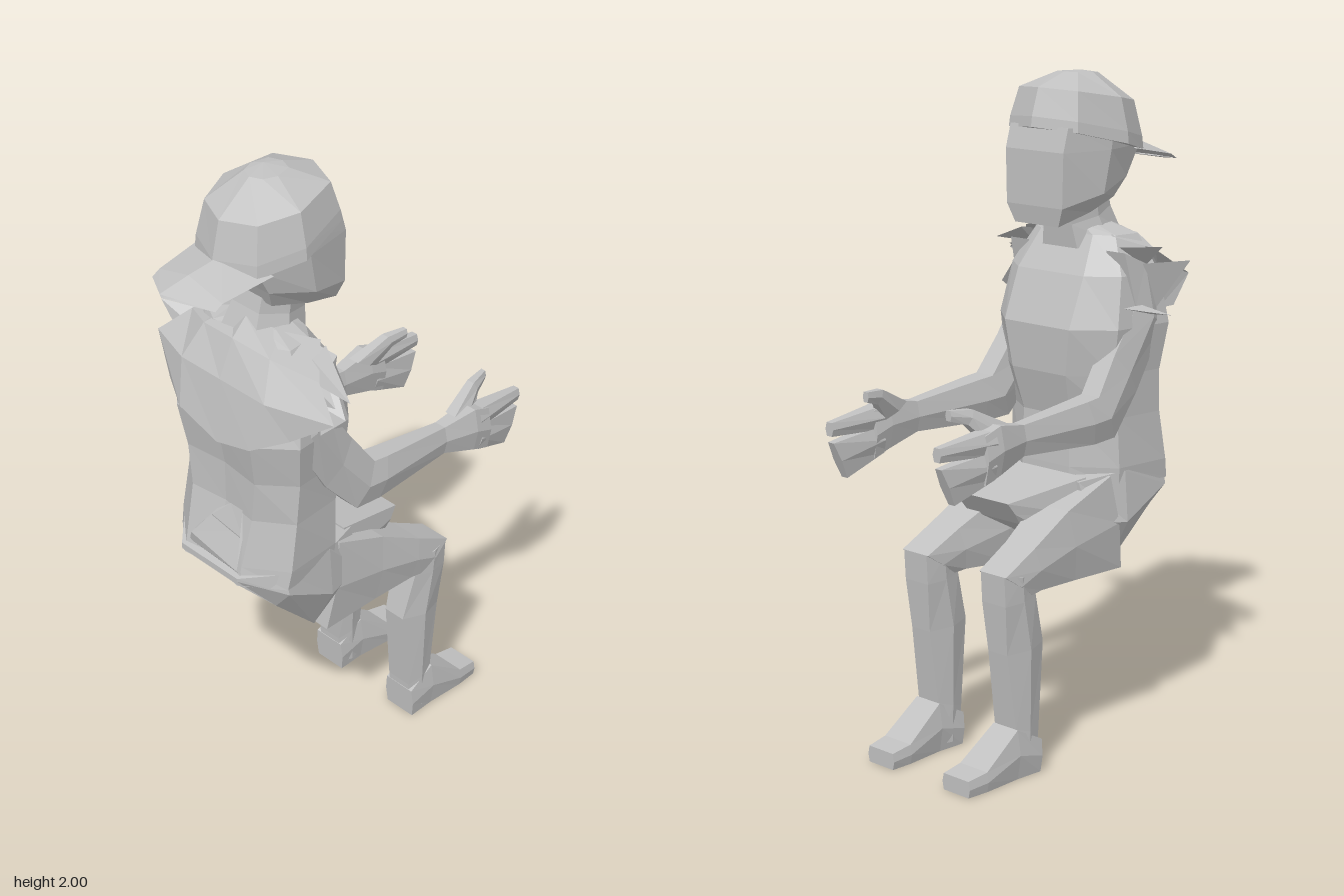
import * as THREE from 'three';

const clay = new THREE.MeshStandardMaterial({ color: 0xc0c0c0, side: THREE.DoubleSide });
clay.name = 'light grey';
clay.flatShading = true;

const MID = -0.012; // the figure leans slightly to its right

// Skin a list of equal-length rows of points; closed rows also get end caps.
function loft(name, rows, closed = true) {
  const tris = [];
  const n = rows[0].length;
  for (let r = 0; r + 1 < rows.length; r++) {
    for (let i = 0; i < (closed ? n : n - 1); i++) {
      const j = (i + 1) % n;
      const a = rows[r][i], b = rows[r][j], c = rows[r + 1][j], d = rows[r + 1][i];
      tris.push([a, b, c], [a, c, d]);
    }
  }
  if (closed) {
    const first = rows[0], last = rows[rows.length - 1];
    for (let i = 1; i + 1 < n; i++) {
      tris.push([first[0], first[i + 1], first[i]], [last[0], last[i], last[i + 1]]);
    }
  }
  // Face outward: flip everything when the signed volume is negative
  const [u, v, w] = [0, 0, 0].map(() => new THREE.Vector3());
  const o = new THREE.Vector3(...rows[0][0]);
  let volume = 0;
  for (const t of tris) {
    u.set(...t[0]).sub(o); v.set(...t[1]).sub(o); w.set(...t[2]).sub(o);
    volume += u.dot(v.cross(w));
  }
  if (volume < 0) tris.forEach((t) => t.reverse());
  const geometry = new THREE.BufferGeometry();
  geometry.setAttribute('position', new THREE.Float32BufferAttribute(tris.flat(2), 3));
  geometry.computeVertexNormals();
  const mesh = new THREE.Mesh(geometry, clay);
  mesh.name = name;
  return mesh;
}

// Six-sided section between two profile points [y, z], centred on x, half width w;
// the tapers narrow the edge at each profile point
function section(x, w, [ya, za], [yb, zb], taperA = 0.65, taperB = taperA) {
  const ym = (ya + yb) / 2, zm = (za + zb) / 2, t = w * taperA, u = w * taperB;
  return [[x - t, ya, za], [x + t, ya, za], [x + w, ym, zm],
    [x + u, yb, zb], [x - u, yb, zb], [x - w, ym, zm]];
}

// Nine-sided horizontal ring: chest side (-z) of share c, back side (+z) of share b
function bodyRing(y, w, zChest, zBack, c, b) {
  const zm = (zChest + zBack) / 2, q = (zBack - zChest) * 0.26;
  return [[-c * w, zChest], [c * w, zChest], [0.92 * w, zm - q], [w, zm + q], [b * w, zBack],
    [0, zBack - 0.015], [-b * w, zBack], [-w, zm + q], [-0.92 * w, zm - q]]
    .map(([x, z]) => [x + MID, y, z]);
}

// Limb made of [x, halfWidth, edgeA, edgeB, taper] stations on one side
function limb(name, s, stations) {
  return loft(name, stations.map(([x, w, a, b, t]) => section(s * x + MID, w, a, b, t)));
}

function buildTorso(g) {
  g.add(loft('torso', [
    bodyRing(0.79, 0.23, 0.09, 0.465, 0.4, 0.5),
    bodyRing(0.85, 0.235, 0.09, 0.45, 0.4, 0.5),
    bodyRing(1.0, 0.23, 0.095, 0.415, 0.4, 0.55),
    bodyRing(1.13, 0.235, 0.06, 0.415, 0.45, 0.6),
    bodyRing(1.27, 0.255, 0.05, 0.44, 0.5, 0.6),
    bodyRing(1.42, 0.235, 0.11, 0.39, 0.55, 0.6),
    bodyRing(1.53, 0.17, 0.18, 0.34, 0.6, 0.6),
    bodyRing(1.555, 0.09, 0.19, 0.31, 0.6, 0.6),
  ]));
  // Shirt yoke draped over the upper back
  g.add(loft('shoulderYoke', [
    [[-0.17, 1.53, 0.2], [-0.1, 1.55, 0.27], [0, 1.58, 0.32], [0.09, 1.55, 0.27], [0.17, 1.53, 0.2]],
    [[-0.25, 1.49, 0.3], [-0.13, 1.52, 0.36], [0, 1.53, 0.37], [0.14, 1.52, 0.36], [0.27, 1.48, 0.3]],
    [[-0.32, 1.42, 0.37], [-0.16, 1.42, 0.42], [0, 1.42, 0.42], [0.18, 1.42, 0.42], [0.385, 1.42, 0.355]],
    [[-0.24, 1.31, 0.4], [-0.14, 1.28, 0.45], [0.02, 1.24, 0.455], [0.15, 1.27, 0.45], [0.26, 1.33, 0.4]],
  ], false));
  // Crumpled cloth at the small of the back
  g.add(loft('shirtFold', [
    [[-0.12, 0.83, 0.45], [0.11, 0.82, 0.45], [0.08, 0.88, 0.42], [-0.09, 0.9, 0.42]],
    [[-0.1, 0.87, 0.46], [0.1, 0.84, 0.465], [0.09, 0.93, 0.43], [-0.04, 0.95, 0.43]],
    [[-0.03, 0.97, 0.42], [0.08, 0.95, 0.42], [0.07, 1.01, 0.41], [0.02, 1.01, 0.41]],
  ]));
  // Seat with a rounded rear, and the cloth stretched across the lap
  g.add(loft('pelvis', [
    section(MID, 0.12, [0.82, 0.47], [0.8, 0.47], 1),
    section(MID, 0.23, [0.84, 0.37], [0.7, 0.37], 0.97, 0.75),
    section(MID, 0.23, [0.84, 0.2], [0.53, 0.2], 0.95, 0.65),
    section(MID, 0.2, [0.82, 0.06], [0.58, 0.08], 0.8),
  ]));
  g.add(loft('lapCloth', [
    section(MID, 0.17, [0.83, 0.09], [0.6, 0.09], 0.95),
    section(MID + 0.03, 0.11, [0.78, -0.15], [0.71, -0.1], 0.95),
  ]));
}

function buildHead(g) {
  g.add(loft('neck', [
    section(MID, 0.105, [1.49, 0.15], [1.53, 0.34]),
    section(MID, 0.085, [1.56, 0.14], [1.6, 0.31]),
    section(MID, 0.085, [1.64, 0.13], [1.68, 0.29]),
  ]));
  // Wide flat face tapering to the nape
  g.add(loft('head', [
    section(MID, 0.1, [1.565, 0.05], [1.63, 0.29], 0.85),
    section(MID, 0.145, [1.62, 0.04], [1.69, 0.32], 0.75),
    section(MID, 0.15, [1.78, 0.04], [1.78, 0.37], 0.75),
    section(MID, 0.15, [1.85, 0.06], [1.82, 0.37], 0.75),
  ]));
  // Backwards cap: tilted octagonal bands closed by a low crown
  const outline = [[0, 0.03], [0.135, 0.08], [0.18, 0.25], [0.125, 0.38],
    [0, 0.43], [-0.125, 0.38], [-0.18, 0.25], [-0.135, 0.08]];
  const band = (k, y, slope) => outline.map(([x, z]) => {
    const zz = 0.23 + (z - 0.23) * k;
    return [x * k - 0.008, y - slope * (zz - 0.23), zz];
  });
  g.add(loft('cap', [band(1, 1.8, 0.24), band(0.98, 1.835, 0.22), band(0.85, 1.93, 0.17),
    band(0.3, 1.993, 0.05), outline.map(() => [-0.03, 2, 0.22])]));
  g.add(loft('capBrim', [
    [[-0.15, 1.77, 0.34], [0, 1.8, 0.4], [0.14, 1.77, 0.34], [0, 1.76, 0.38]],
    [[-0.14, 1.74, 0.5], [-0.02, 1.77, 0.5], [0.115, 1.74, 0.5], [-0.02, 1.74, 0.5]],
    [[-0.14, 1.725, 0.525], [-0.05, 1.73, 0.575], [0.115, 1.725, 0.525], [-0.05, 1.715, 0.57]],
  ]));
}

function buildSide(g, s) {
  const side = s > 0 ? 'left' : 'right';
  g.add(limb(side + 'Arm', s, [
    [0.19, 0.055, [1.49, 0.18], [1.42, 0.32]],
    [0.2, 0.055, [1.33, 0.22], [1.26, 0.34]],
    [0.202, 0.05, [1.2, 0.13], [1.08, 0.23]],
    [0.212, 0.052, [1.09, 0.05], [0.96, 0.12]],
    [0.215, 0.05, [1.085, 0.0], [0.955, 0.03]],
    [0.213, 0.03, [1.06, -0.25], [0.97, -0.25]],
    [0.222, 0.042, [1.08, -0.36], [0.94, -0.36]],
    [0.222, 0.04, [1.06, -0.42], [0.92, -0.42]],
  ]));
  g.add(limb(side + 'UpperFingers', s, [
    [0.222, 0.038, [1.07, -0.38], [1.0, -0.38]],
    [0.215, 0.016, [1.05, -0.575], [1.01, -0.575]],
  ]));
  g.add(limb(side + 'LowerFingers', s, [
    [0.222, 0.038, [1.01, -0.39], [0.93, -0.38]],
    [0.215, 0.018, [0.99, -0.57], [0.88, -0.52]],
  ]));
  g.add(limb(side + 'Thumb', s, [
    [0.205, 0.03, [1.07, -0.3], [1.03, -0.38]],
    [0.18, 0.02, [1.125, -0.41], [1.085, -0.43]],
    [0.165, 0.012, [1.13, -0.48], [1.1, -0.48]],
  ]));
  g.add(limb(side + 'Thigh', s, [
    [0.125, 0.095, [0.83, 0.15], [0.54, 0.2], 0.85],
    [0.135, 0.085, [0.76, -0.03], [0.545, 0.0], 0.8],
    [0.152, 0.07, [0.68, -0.18], [0.55, -0.15], 0.8],
    [0.157, 0.062, [0.62, -0.3], [0.545, -0.19], 0.85],
  ]));
  g.add(limb(side + 'Shin', s, [
    [0.157, 0.062, [0.62, -0.3], [0.6, -0.18], 0.75],
    [0.157, 0.062, [0.53, -0.295], [0.54, -0.17], 0.75],
    [0.157, 0.062, [0.38, -0.28], [0.39, -0.13], 0.6],
    [0.158, 0.056, [0.15, -0.25], [0.12, -0.155], 0.75],
    [0.158, 0.056, [0.02, -0.25], [0.02, -0.16], 0.8],
  ]));
  g.add(limb(side + 'Foot', s, [
    [0.16, 0.06, [0.1, -0.155], [0, -0.16], 0.9],
    [0.16, 0.06, [0.15, -0.25], [0, -0.25], 0.8],
    [0.157, 0.06, [0.06, -0.38], [0, -0.38], 0.9],
    [0.155, 0.055, [0.05, -0.45], [0, -0.45], 0.9],
  ]));
}

// Torn sleeve edges: thin shards as [tip, baseA, baseB]
function buildShards(g) {
  [
    [[0.38, 1.46, 0.29], [0.19, 1.52, 0.2], [0.22, 1.46, 0.29]],
    [[0.35, 1.44, 0.315], [0.22, 1.47, 0.24], [0.22, 1.4, 0.3]],
    [[0.3, 1.34, 0.23], [0.21, 1.42, 0.19], [0.23, 1.27, 0.28]],
    [[-0.39, 1.325, 0.21], [-0.22, 1.33, 0.17], [-0.24, 1.3, 0.28]],
    [[-0.375, 1.47, 0.31], [-0.22, 1.45, 0.22], [-0.25, 1.31, 0.3]],
    [[-0.32, 1.51, 0.25], [-0.2, 1.5, 0.2], [-0.23, 1.44, 0.28]],
  ].forEach(([tip, a, b]) => {
    const c = [(a[0] + b[0]) / 2, (a[1] + b[1]) / 2 + 0.02, (a[2] + b[2]) / 2 + 0.02];
    g.add(loft('sleeveShard', [[a, b, c], [tip, tip, tip]]));
  });
}

export function createModel() {
  const g = new THREE.Group();
  g.name = 'seatedFigure';
  buildTorso(g);
  buildHead(g);
  for (const s of [1, -1]) buildSide(g, s);
  buildShards(g);
  return g;
}
